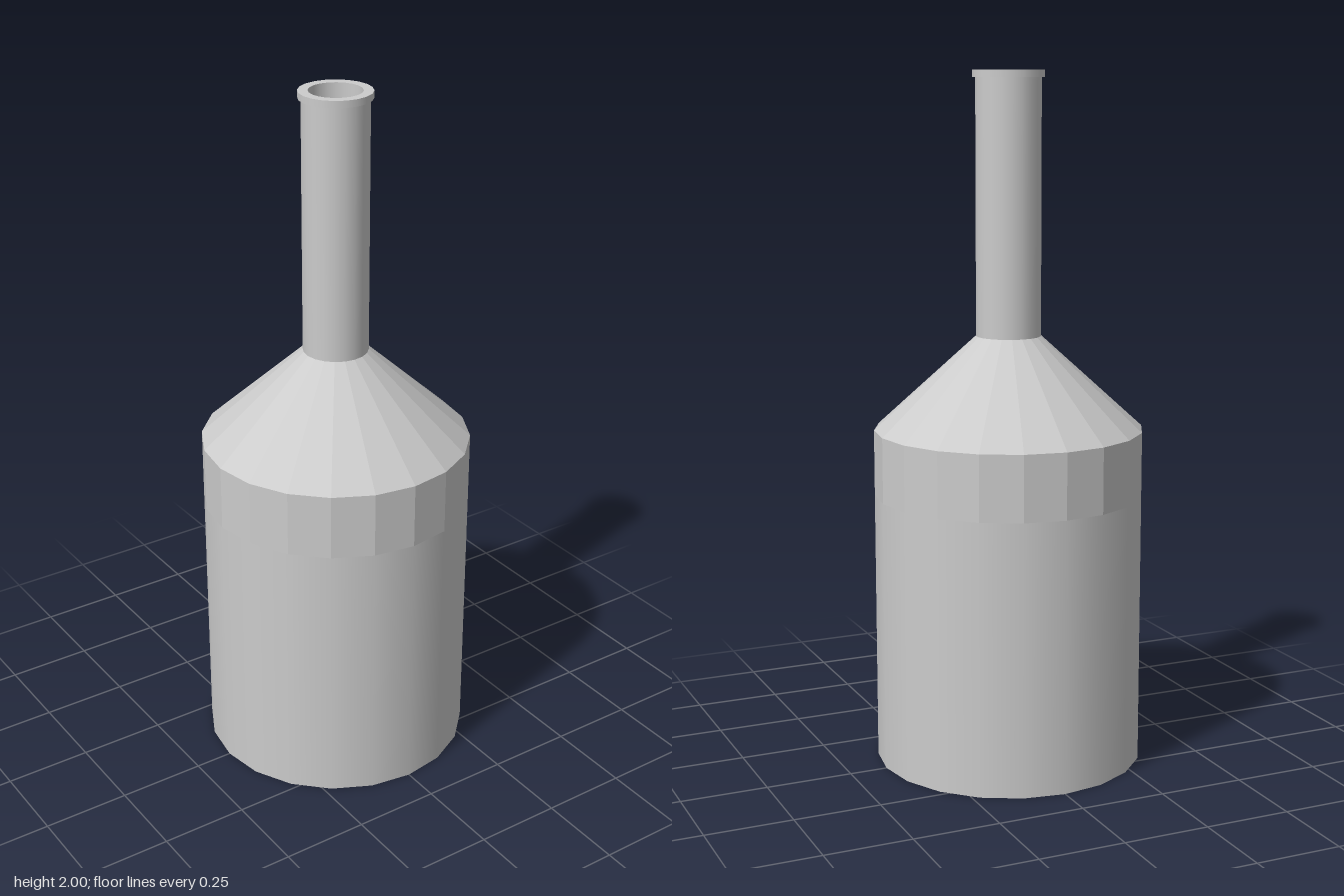
import * as THREE from 'three';

const SIDES = 20;

export function createModel() {
  const bottle = new THREE.Group();
  bottle.name = 'bottle';
  const smooth = new THREE.MeshStandardMaterial({ color: 0xcccccc });
  const faceted = new THREE.MeshStandardMaterial({ color: 0xcccccc, flatShading: true });

  // One ring of faces between two [radius, height] points; upward runs face out, downward runs face in
  function band(name, from, to, material) {
    const profile = [from, to].map(([r, y]) => new THREE.Vector2(r, y));
    const mesh = new THREE.Mesh(new THREE.LatheGeometry(profile, SIDES), material);
    mesh.name = name;
    bottle.add(mesh);
  }

  // Body: closed base, smooth wall, faceted upper wall
  band('base', [0, 0], [0.39, 0], faceted);
  band('bodyWall', [0.39, 0], [0.39, 0.79], smooth);
  band('upperBody', [0.39, 0.79], [0.39, 0.98], faceted);

  // Faceted shoulder narrowing to the neck
  band('shoulder', [0.39, 0.98], [0.094, 1.25], faceted);

  // Neck with a thin projecting lip
  band('neck', [0.094, 1.25], [0.094, 1.98], smooth);
  band('lipUnderside', [0.094, 1.98], [0.103, 1.98], faceted);
  band('lipEdge', [0.103, 1.98], [0.103, 2], smooth);
  band('lipTop', [0.103, 2], [0.075, 2], faceted);

  // Hollow inside of the neck
  band('neckInside', [0.075, 2], [0.075, 1.25], smooth);
  band('neckFloor', [0.075, 1.25], [0, 1.25], faceted);

  return bottle;
}
